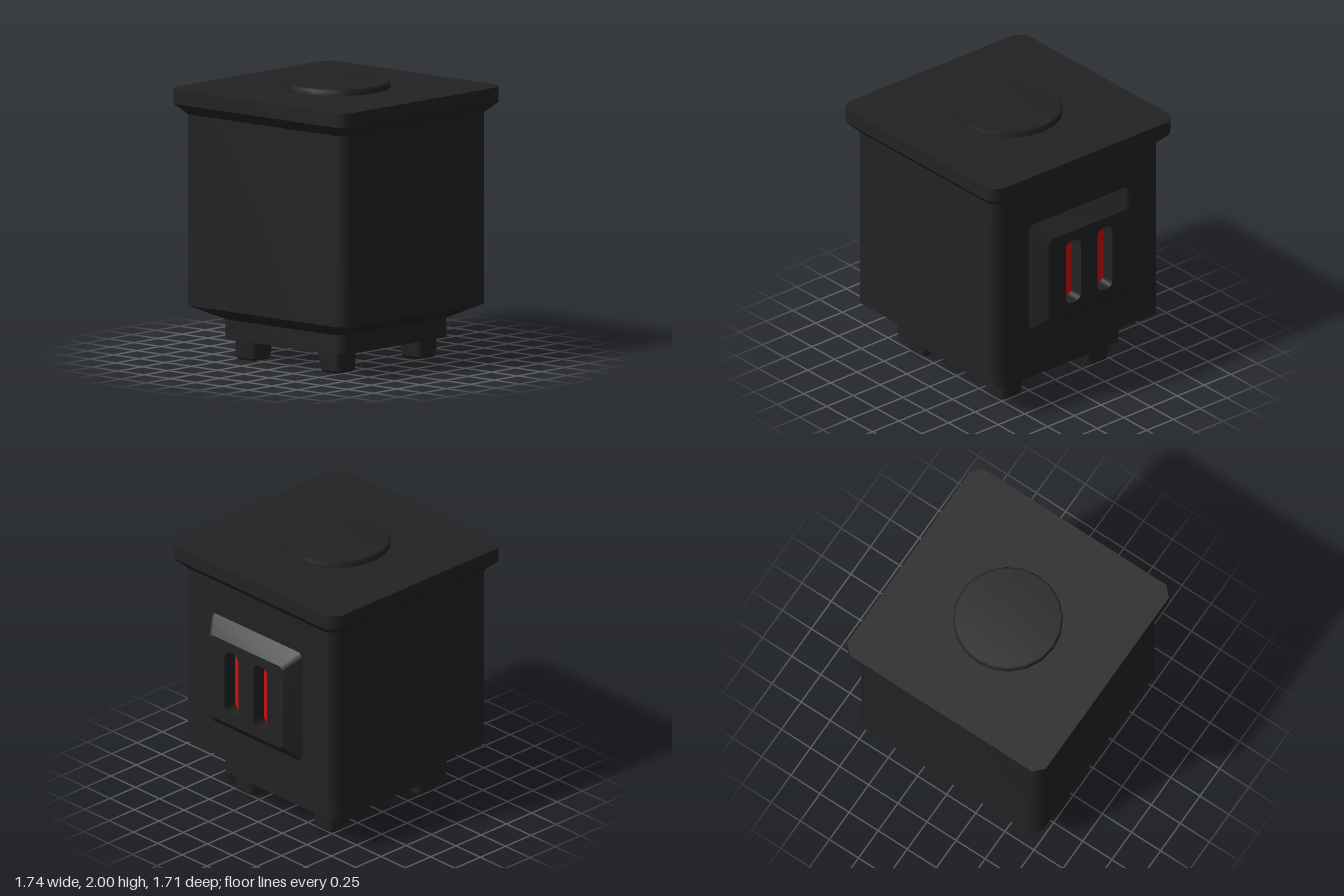
import * as THREE from 'three';

const black = new THREE.MeshStandardMaterial({ color: 0x222222 });
black.name = 'blackIron';
const red = new THREE.MeshStandardMaterial({ color: 0xc80f0f });
red.name = 'redGlow';

// Stack of corner-cut rectangles: each ring is [y, halfX, halfZ, cornerCut, zOffset].
// Smooth around the corners, sharp between bands.
function loft(rings) {
  const pos = [], index = [];
  const outline = ([y, a, b, c, dz = 0]) => [
    [a, -b + c], [a, b - c], [a - c, b], [-a + c, b],
    [-a, b - c], [-a, -b + c], [-a + c, -b], [a - c, -b],
  ].map(([x, z]) => [x, y, z + dz]);
  for (let r = 0; r + 1 < rings.length; r++) {
    const base = pos.length / 3;
    pos.push(...outline(rings[r]).flat(), ...outline(rings[r + 1]).flat());
    for (let i = 0; i < 8; i++) {
      const a = base + i, b = base + (i + 1) % 8;
      index.push(a, a + 8, b + 8, a, b + 8, b);
    }
  }
  // Flat caps at both ends
  [rings[0], rings[rings.length - 1]].forEach((ring, top) => {
    const base = pos.length / 3;
    pos.push(...outline(ring).flat());
    for (let i = 1; i < 7; i++) {
      if (top) index.push(base, base + i + 1, base + i);
      else index.push(base, base + i, base + i + 1);
    }
  });
  const g = new THREE.BufferGeometry();
  g.setAttribute('position', new THREE.Float32BufferAttribute(pos, 3));
  g.setIndex(index);
  g.computeVertexNormals();
  return g;
}

// Rounded rectangle centred on (cx, cy)
function roundRect(path, cx, cy, w, h, r) {
  const x = w / 2, y = h / 2;
  path.absarc(cx + x - r, cy + y - r, r, 0, Math.PI / 2);
  path.absarc(cx - x + r, cy + y - r, r, Math.PI / 2, Math.PI);
  path.absarc(cx - x + r, cy - y + r, r, Math.PI, Math.PI * 1.5);
  path.absarc(cx + x - r, cy - y + r, r, Math.PI * 1.5, Math.PI * 2);
  path.closePath();
  return path;
}

export function createModel() {
  const model = new THREE.Group();
  const stove = new THREE.Group();
  stove.name = 'stove';
  stove.position.x = -0.02;
  model.add(stove);
  const add = (name, geometry, material = black) => {
    const mesh = new THREE.Mesh(geometry, material);
    mesh.name = name;
    stove.add(mesh);
    return mesh;
  };

  // Plinth, firebox and flared lid
  const square = (y, h, c = 0.07) => [y, h, h, c];
  add('plinth', loft([square(0.15, 0.59), square(0.29, 0.59)]));
  add('firebox', loft([square(0.29, 0.59), square(0.39, 0.78), square(1.77, 0.78)]));
  add('lid', loft([square(1.77, 0.78), square(1.845, 0.853), square(1.95, 0.853)]));

  // Round cooking plate
  const profile = [[0.39, 1.94], [0.39, 1.985], [0.375, 2], [0, 2]];
  add('cookingPlate', new THREE.LatheGeometry(profile.map(p => new THREE.Vector2(...p)), 20));

  // Tapered feet, vertical on their outer side
  for (const sx of [-1, 1]) {
    for (const sz of [-1, 1]) {
      const foot = add('foot', loft([
        [0, 0.085, 0.085, 0.03, sz * 0.01],
        [0.015, 0.1, 0.1, 0.03, sz * 0.01],
        [0.16, 0.11, 0.11, 0.03, 0],
      ]));
      foot.position.set(sx * 0.43, 0, sz * 0.397);
    }
  }

  // Door on the left side: bevelled surround, slotted front, glowing slots
  const doorX = 0.78, doorY = 1.08, depth = 0.11;
  const door = new THREE.Group();
  door.name = 'door';
  door.position.set(doorX, doorY, 0);
  door.rotation.y = Math.PI / 2;
  stove.add(door);

  const surround = loft([[0, 0.47, 0.43, 0.035], [depth, 0.38, 0.325, 0.03]]);
  // Keep only the sloping sides, so the slots stay open
  surround.setIndex(Array.from(surround.index.array).slice(0, 48));
  surround.rotateX(Math.PI / 2);
  const surroundMesh = new THREE.Mesh(surround, black);
  surroundMesh.name = 'doorSurround';
  door.add(surroundMesh);

  const front = new THREE.Shape([
    [0.38, -0.295], [0.38, 0.295], [0.35, 0.325], [-0.35, 0.325],
    [-0.38, 0.295], [-0.38, -0.295], [-0.35, -0.325], [0.35, -0.325],
  ].map(p => new THREE.Vector2(...p)));
  for (const s of [-1, 1]) {
    front.holes.push(roundRect(new THREE.Path(), s * 0.148, 0, 0.14, 0.5, 0.05));
    const slot = roundRect(new THREE.Shape(), s * 0.148, 0, 0.14, 0.5, 0.05);
    const glow = new THREE.Mesh(new THREE.ShapeGeometry(slot, 3), red);
    glow.name = 'glowingSlot';
    glow.position.z = 0.006;
    door.add(glow);
  }
  const frontMesh = new THREE.Mesh(
    new THREE.ExtrudeGeometry(front, { depth, bevelEnabled: false, curveSegments: 3 }), black);
  frontMesh.name = 'doorFront';
  door.add(frontMesh);

  return model;
}
